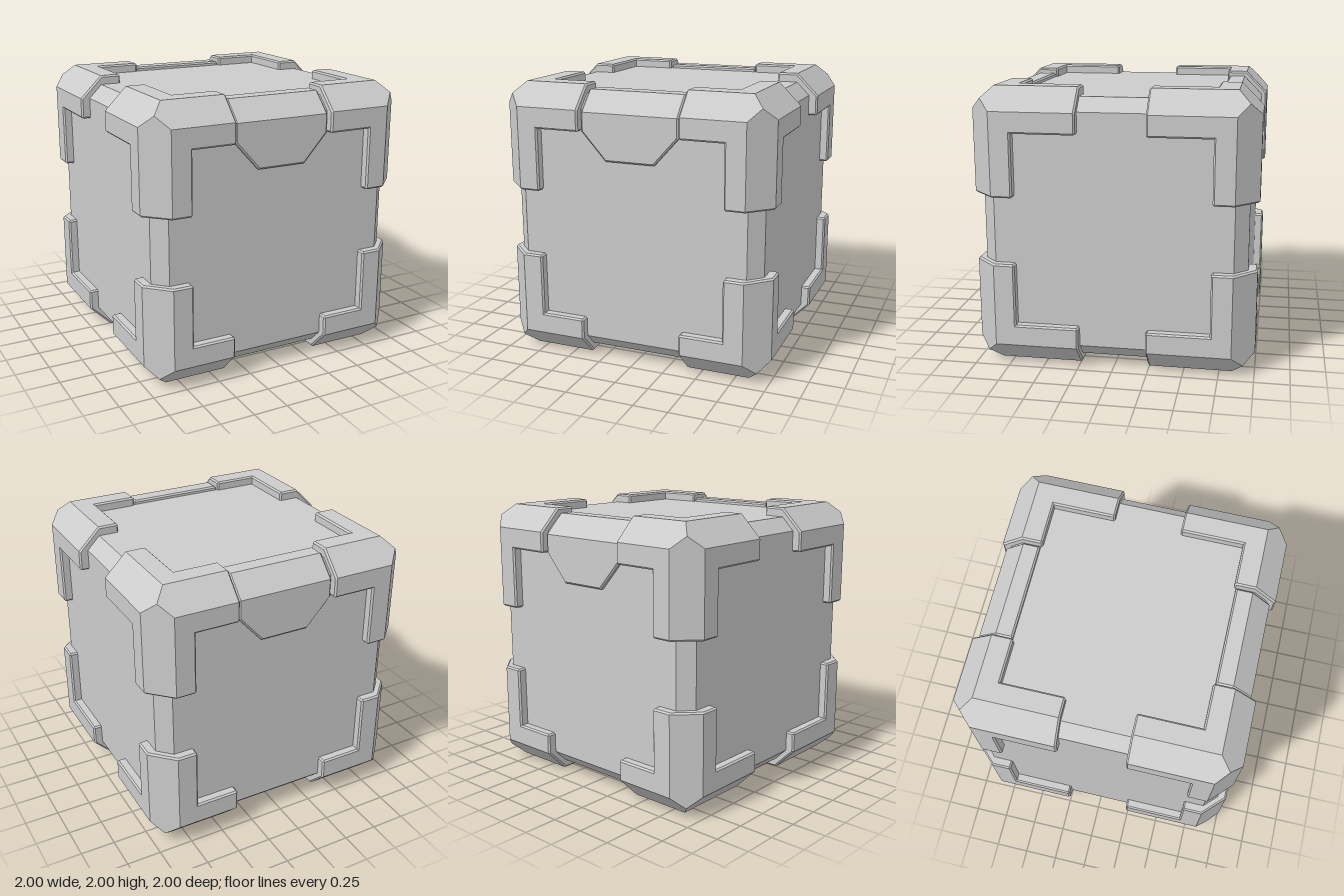
import * as THREE from 'three';
import { ConvexGeometry } from 'three/addons/geometries/ConvexGeometry.js';

const SIGNS = [-1, 1];
const BEVEL = 0.012;
const material = new THREE.MeshStandardMaterial({ color: 0xcccccc, flatShading: true });

// Adds a quad as two triangles
const quad = (out, a, b, c, d) => out.push(a, b, c, a, c, d);

function toGeometry(points) {
  const geometry = new THREE.BufferGeometry();
  geometry.setAttribute('position', new THREE.Float32BufferAttribute(points.flat(), 3));
  geometry.computeVertexNormals();
  return geometry;
}

function addMesh(parent, geometry, name) {
  const mesh = new THREE.Mesh(geometry, material);
  mesh.name = name;
  parent.add(mesh);
  return mesh;
}

// Cube with bevelled edges: flat faces at h, creases at f
function bodyGeometry(h, f) {
  const points = [];
  const m = (h + f) / 2;
  for (const x of SIGNS) for (const y of SIGNS) for (const z of SIGNS) {
    for (const [a, b, c] of [[h, f, f], [f, h, f], [f, f, h], [m, m, m]]) {
      points.push(new THREE.Vector3(x * a, y * b, z * c));
    }
  }
  return new ConvexGeometry(points);
}

// Cross-section of a guard arm, inset by d
function armSection(d) {
  const half = [
    [0.69 + d, 0.92], [0.69 + d, 1 - BEVEL], [0.69 + BEVEL, 1 - d], [0.84 - 0.41 * d, 1 - d],
  ];
  const mid = 0.92 - 0.707 * d;
  return [...half, [mid, mid], ...half.map(([u, v]) => [v, u]).reverse()];
}

// One arm from its bevelled end to the mitre where three arms meet
function armTriangles(end) {
  const out = [];
  const rings = [
    armSection(BEVEL).map(([u, v]) => [end, u, v]),
    armSection(0).map(([u, v]) => [end + BEVEL, u, v]),
    armSection(0).map(([u, v]) => [Math.min(u, v), u, v]),
  ];
  for (let i = 0; i < rings[0].length - 1; i++) {
    out.push([end, 0.69, 0.69], rings[0][i], rings[0][i + 1]);
    for (let r = 0; r < 2; r++) {
      quad(out, rings[r][i], rings[r + 1][i], rings[r + 1][i + 1], rings[r][i + 1]);
    }
  }
  return out;
}

// Three arms along x, y and z, mirrored into the chosen corner
function cornerGeometry(sx, sy, sz) {
  const points = [
    ...armTriangles(0.37),
    ...armTriangles(0.24).map(([t, u, v]) => [v, t, u]),
    ...armTriangles(0.24).map(([t, u, v]) => [u, v, t]),
  ].map(([x, y, z]) => [x * sx, y * sy, z * sz]);
  if (sx * sy * sz < 0) {
    for (let i = 0; i < points.length; i += 3) {
      [points[i + 1], points[i + 2]] = [points[i + 2], points[i + 1]];
    }
  }
  return toGeometry(points);
}

// Plate folded over the top edge, tapering downwards
function latchGeometry() {
  // Rows of half-width, y, z; inset by d and sunk by h
  const rows = (d, h) => [
    [0.36 - d, 0.965 - h, 0.705 + d],
    [0.36 - d, 0.965 - h, 0.825 - 0.41 * h],
    [0.36 - d, 0.825 - 0.41 * h, 0.965 - h],
    [0.36 - d, 0.69 + 0.4 * d, 0.965 - h],
    [0.18 - 0.4 * d, 0.49 + d, 0.965 - h],
  ];
  // Outline: down the left (+x) side, back up the other
  const ring = (list) => [
    ...list,
    ...list.map(([w, y, z]) => [-w, y, z]).reverse(),
  ];
  const out = [];
  const face = rows(BEVEL, 0);
  const rings = [rows(0, 0.06), rows(0, BEVEL), face].map(ring);
  const n = rings[0].length;
  for (let r = 0; r < 2; r++) {
    for (let i = 0; i < n; i++) {
      const j = (i + 1) % n;
      quad(out, rings[r][j], rings[r][i], rings[r + 1][i], rings[r + 1][j]);
    }
  }
  // Front surface
  for (let i = 0; i < face.length - 1; i++) {
    const [w0, y0, z0] = face[i];
    const [w1, y1, z1] = face[i + 1];
    quad(out, [-w0, y0, z0], [-w1, y1, z1], [w1, y1, z1], [w0, y0, z0]);
  }
  return toGeometry(out);
}

export function createModel() {
  const model = new THREE.Group();
  model.name = 'crate';
  const parts = new THREE.Group();
  parts.name = 'crateParts';
  parts.position.y = 1;
  model.add(parts);

  addMesh(parts, bodyGeometry(0.935, 0.84), 'body');

  // Eight raised corner guards
  for (const x of SIGNS) for (const y of SIGNS) for (const z of SIGNS) {
    const name = `${y > 0 ? 'top' : 'bottom'}${z > 0 ? 'Front' : 'Back'}${x > 0 ? 'Left' : 'Right'}CornerGuard`;
    addMesh(parts, cornerGeometry(x, y, z), name);
  }

  // Matching latches on the front and back
  const latch = latchGeometry();
  addMesh(parts, latch, 'frontLatch');
  addMesh(parts, latch, 'backLatch').rotation.y = Math.PI;

  return model;
}
